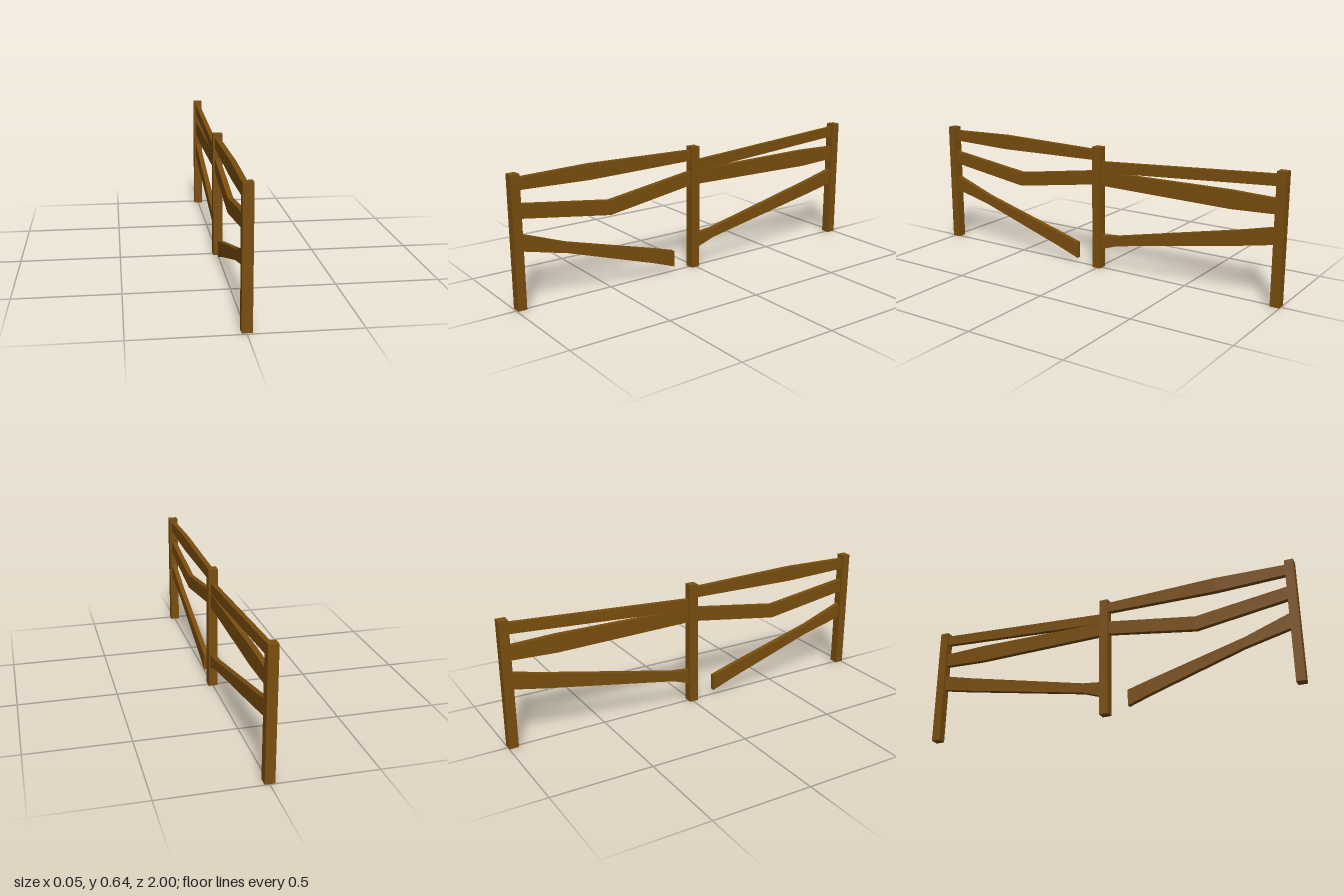
import * as THREE from 'three';

const wood = new THREE.MeshStandardMaterial({ color: 0x7a4e0e, flatShading: true });

// Square post standing at z, from y0 to y1
function post(name, z, y0, y1, width) {
  const mesh = new THREE.Mesh(new THREE.BoxGeometry(0.047, y1 - y0, width), wood);
  mesh.position.set(0, (y0 + y1) / 2, z);
  mesh.name = name;
  return mesh;
}

// Crooked plank: each station is [z, bottom, top], running from +z to -z
function rail(name, x, thickness, stations) {
  const n = stations.length - 1;
  const geo = new THREE.BoxGeometry(thickness, 1, n, 1, 1, n);
  const pos = geo.attributes.position;
  for (let i = 0; i < pos.count; i++) {
    const [z, bottom, top] = stations[Math.round(n / 2 - pos.getZ(i))];
    pos.setXYZ(i, pos.getX(i) + x, pos.getY(i) > 0 ? top : bottom, z);
  }
  geo.computeVertexNormals();
  const mesh = new THREE.Mesh(geo, wood);
  mesh.name = name;
  return mesh;
}

export function createModel() {
  const fence = new THREE.Group();
  fence.name = 'brokenFence';

  // Posts
  fence.add(
    post('frontPost', 0.978, 0.005, 0.64, 0.044),
    post('middlePost', 0.004, 0, 0.635, 0.047),
    post('backPost', -0.977, 0.002, 0.637, 0.046)
  );

  // Front bay, with the lowest rail hanging loose
  fence.add(
    rail('frontTopRail', -0.002, 0.026, [
      [0.967, 0.565, 0.62], [0.6, 0.555, 0.63], [0.018, 0.565, 0.617]]),
    rail('frontMiddleRail', -0.001, 0.026, [
      [0.967, 0.435, 0.502], [0.495, 0.367, 0.439], [0.018, 0.44, 0.51]]),
    rail('frontBrokenRail', 0, 0.025, [
      [0.967, 0.283, 0.363], [0.73, 0.225, 0.277], [0.25, 0.07, 0.145], [0.13, 0.027, 0.11]])
  );

  // Back bay
  fence.add(
    rail('backTopRail', -0.001, 0.024, [
      [-0.01, 0.505, 0.56], [-0.963, 0.567, 0.62]]),
    rail('backMiddleRail', 0.002, 0.026, [
      [-0.01, 0.44, 0.51], [-0.73, 0.428, 0.516], [-0.963, 0.438, 0.508]]),
    rail('backBottomRail', 0.001, 0.026, [
      [-0.01, 0.1, 0.176], [-0.115, 0.136, 0.187], [-0.8, 0.263, 0.337], [-0.963, 0.296, 0.377]])
  );

  return fence;
}
